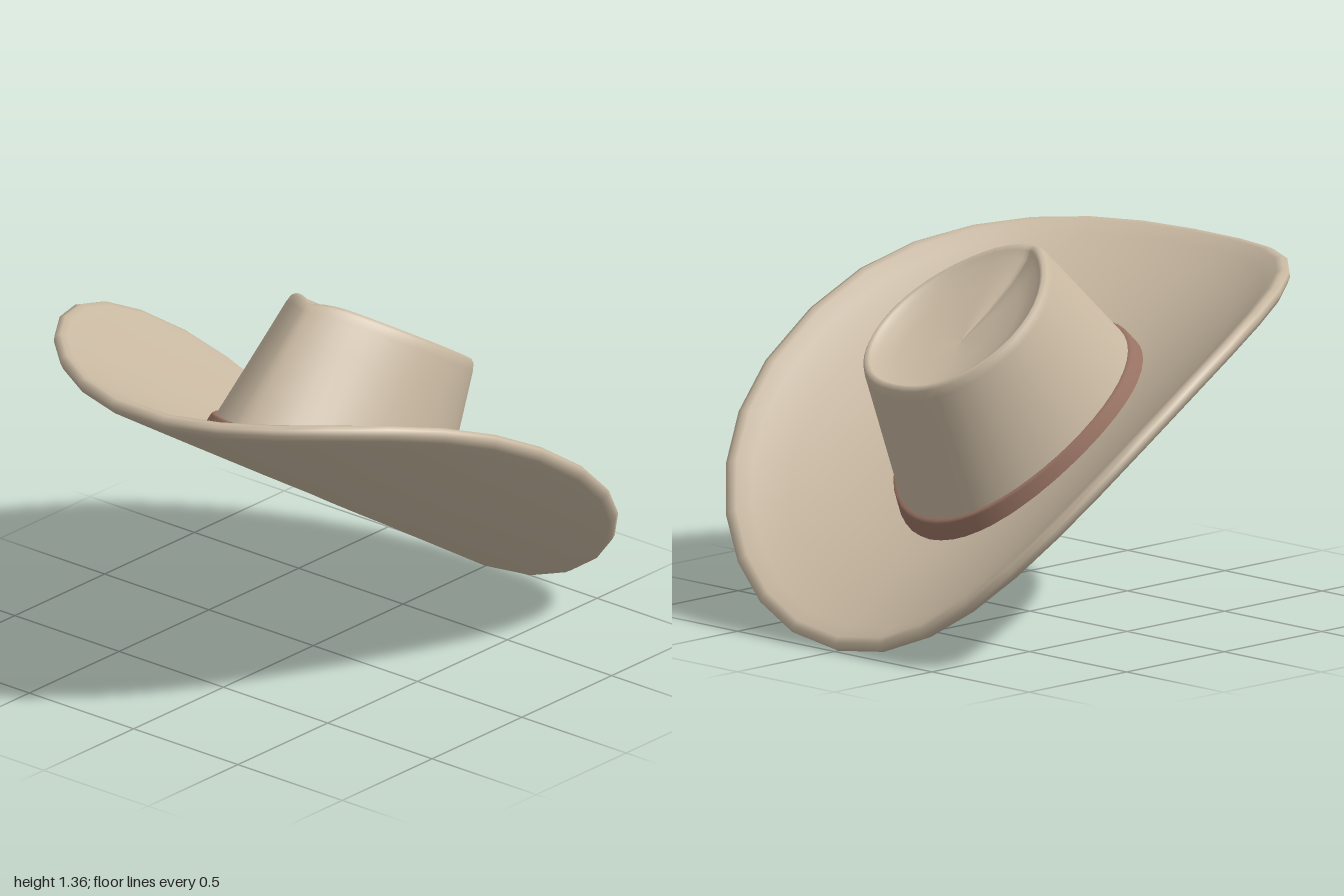
import * as THREE from 'three';

const TILT = 0.557; // the front of the hat is raised

// Smooth skin over a stack of closed loops, listed from the outside bottom up
function skin(rows, segments, point) {
  const pos = [], index = [];
  rows.forEach((row, i) => {
    for (let j = 0; j < segments; j++) {
      pos.push(...point(row, (j / segments) * Math.PI * 2));
      if (i === rows.length - 1) continue;
      const k = (j + 1) % segments;
      const a = i * segments + j, b = i * segments + k;
      index.push(a, b, b + segments, a, b + segments, a + segments);
    }
  });
  const geo = new THREE.BufferGeometry();
  geo.setAttribute('position', new THREE.Float32BufferAttribute(pos, 3));
  geo.setIndex(index);
  geo.computeVertexNormals();
  return geo;
}

const power = (v, p) => Math.sign(v) * Math.abs(v) ** p;
const curl = (x) => 0.4 * x * x; // the brim sweeps up at both sides
const mix = THREE.MathUtils.lerp;

// Brim: oval sheet; each row is [scale, height across the thickness]
function brimPoint([s, h], t) {
  const x = -s * power(Math.sin(t), 0.91);
  const z = 0.01 - s * 1.17 * power(Math.cos(t), 0.91);
  const n = Math.hypot(0.8 * x, 1);
  return [x - (h * 0.8 * x) / n, curl(x) + h / n, z];
}

// Crown: egg-shaped loops, pointed in front and blunt behind.
// Each row is [height 0..1 up the wall, scale, drop below the rim]
function crownPoint([u, s, drop, grow = 0], t) {
  const c = Math.cos(t), front = c > 0;
  const halfWidth = mix(0.39, 0.325, u) + grow;
  const length = (front ? mix(0.61, 0.485, u) : mix(0.54, 0.365, u)) + grow;
  const sharp = front ? mix(1.15, 1.45, u) : mix(1, 0.85, u);
  const x = s * halfWidth * power(Math.sin(t), sharp);
  const z = mix(-0.02, -0.06, u) + s * length * c;
  // the foot follows the brim, the rim is level with a small pinch in front
  const off = Math.atan2(Math.sin(t), c);
  const pinch = 0.025 * u ** 6 * s * Math.exp(-((off / 0.3) ** 2));
  return [x, mix(curl(x) + 0.02, 0.665, u) - drop - pinch, z];
}

export function createModel() {
  const felt = new THREE.MeshStandardMaterial({ color: 0xc9b9a2, side: THREE.DoubleSide });
  const leather = new THREE.MeshStandardMaterial({ color: 0x9a7464, side: THREE.DoubleSide });
  const hat = new THREE.Group();
  hat.name = 'hat';

  const add = (name, geo, material) => {
    const mesh = new THREE.Mesh(geo, material);
    mesh.name = name;
    hat.add(mesh);
  };

  // Underside, rounded edge, upper side
  const steps = [0, 0.2, 0.4, 0.6, 0.8, 0.92];
  const brimRows = [
    ...steps.map((s) => [s, 0]),
    [0.97, 0], [0.99, 0.012], [1, 0.03], [0.99, 0.05], [0.97, 0.06],
    ...steps.slice().reverse().map((s) => [s, 0.055]),
  ];
  add('brim', skin(brimRows, 31, brimPoint), felt);

  // Wall, rounded rim and dished top
  const crownRows = [
    [0, 1, 0], [0.25, 1, 0], [0.5, 1, 0], [0.75, 1, 0], [0.93, 1, 0],
    [0.98, 0.99, 0], [1, 0.96, 0], [1, 0.92, 0.008], [1, 0.86, 0.03],
    [1, 0.65, 0.06], [1, 0.35, 0.08], [1, 0, 0.09],
  ];
  add('crown', skin(crownRows, 48, crownPoint), felt);

  // Band around the foot of the crown
  const bandRows = [
    [0.01, 1, 0, 0.012], [0.03, 1, 0, 0.016], [0.16, 1, 0, 0.016],
    [0.175, 1, 0, 0.012], [0.175, 1, 0, -0.005],
  ];
  add('hatBand', skin(bandRows, 48, crownPoint), leather);

  hat.rotation.x = -TILT;
  hat.position.y = 0.597;
  const model = new THREE.Group();
  model.name = 'tiltedHat';
  model.add(hat);
  return model;
}
